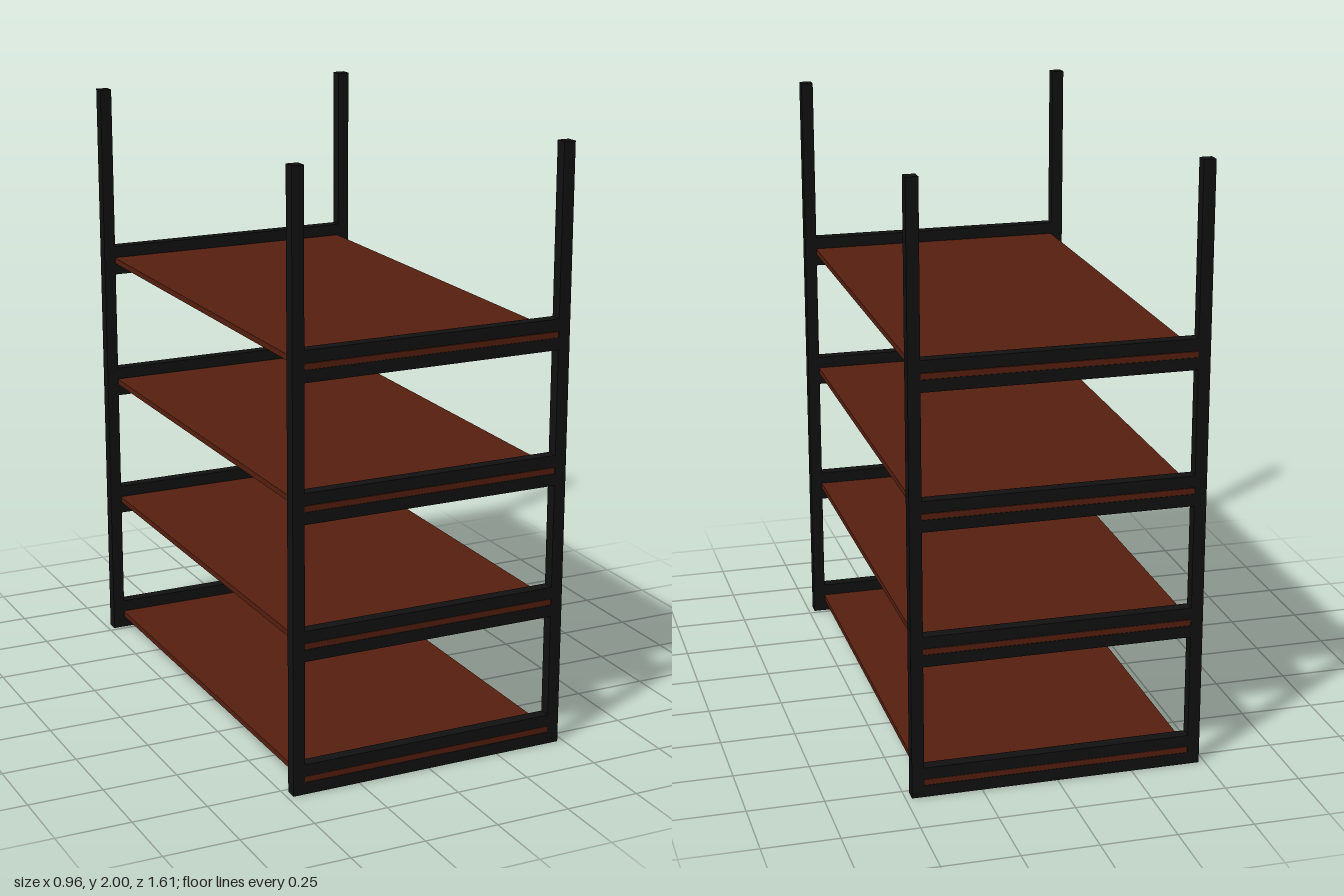
import * as THREE from 'three';

const HEIGHT = 2, HALF_X = 0.48, HALF_Z = 0.805;
const BAR = 0.04;        // square tube size
const GAP = 0.021;       // slot between paired rails
const BOARD = 0.019;     // shelf thickness
const LEVELS = 4, SPACING = 0.447;

export function createModel() {
  const model = new THREE.Group();
  model.name = 'shelfRack';
  const metal = new THREE.MeshStandardMaterial({ color: 0x111111 });
  const wood = new THREE.MeshStandardMaterial({ color: 0x571f0f });

  const addBox = (name, material, size, position) => {
    const mesh = new THREE.Mesh(new THREE.BoxGeometry(...size), material);
    mesh.position.set(...position);
    mesh.name = name;
    model.add(mesh);
  };

  const postX = HALF_X - BAR / 2, endZ = HALF_Z - BAR / 2;
  const innerWidth = 2 * (HALF_X - BAR);

  for (const [end, sz] of [['front', 1], ['back', -1]]) {
    // Corner posts
    for (const [side, sx] of [['Left', 1], ['Right', -1]]) {
      addBox(`${end}${side}Post`, metal, [BAR, HEIGHT, BAR], [sx * postX, HEIGHT / 2, sz * endZ]);
    }
    // Paired rails clamping each shelf end
    for (let i = 0; i < LEVELS; i++) {
      const y = i * SPACING + BAR / 2;
      addBox(`${end}LowerRail${i + 1}`, metal, [innerWidth, BAR, BAR], [0, y, sz * endZ]);
      addBox(`${end}UpperRail${i + 1}`, metal, [innerWidth, BAR, BAR], [0, y + BAR + GAP, sz * endZ]);
    }
  }

  // Shelf boards running through the slots between the rails
  for (let i = 0; i < LEVELS; i++) {
    const y = i * SPACING + BAR + BOARD / 2;
    addBox(`shelf${i + 1}`, wood, [innerWidth, BOARD, 2 * HALF_Z - 0.004], [0, y, 0]);
  }
  return model;
}
